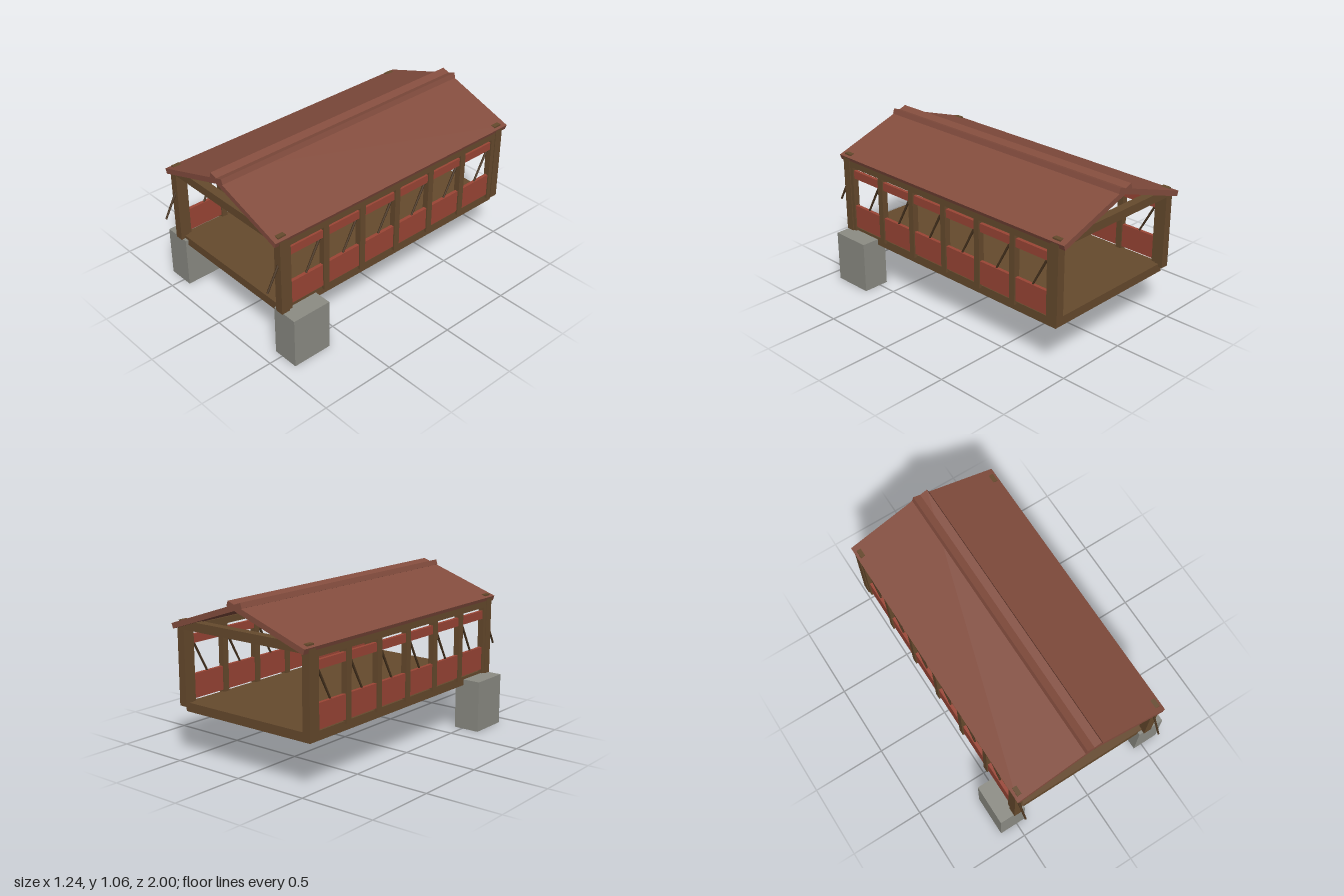
import * as THREE from 'three';

const flat = (name, color) => {
  const m = new THREE.MeshStandardMaterial({ color });
  m.name = name;
  return m;
};

export function createModel() {
  const wood = flat('brown timber', 0x664a2d);
  const darkWood = flat('dark brace wood', 0x4a3520);
  const roofRed = flat('roof red', 0x844d3e);
  const wallRed = flat('wall red', 0x9a4535);
  const stone = flat('grey stone', 0x8c8c84);

  const model = new THREE.Group();
  model.name = 'coveredBridge';

  // Box given by its [min, max] range on each axis
  const box = (name, mat, [x0, x1], [y0, y1], [z0, z1], parent = model) => {
    const mesh = new THREE.Mesh(new THREE.BoxGeometry(x1 - x0, y1 - y0, z1 - z0), mat);
    mesh.position.set((x0 + x1) / 2, (y0 + y1) / 2, (z0 + z1) / 2);
    mesh.name = name;
    parent.add(mesh);
    return mesh;
  };

  const frontZ = 0.885, backZ = -0.929, half = 0.0285;

  // Deck and the cross beams joining the end posts
  box('deck', wood, [-0.5, 0.5], [0.302, 0.36], [backZ, frontZ]);
  for (const z of [frontZ, backZ]) {
    box('tieBeam', wood, [-0.51, 0.51], [0.825, 0.881], [z - half, z + half]);
  }

  for (const s of [1, -1]) {
    const side = new THREE.Group();
    side.name = s > 0 ? 'leftSide' : 'rightSide';
    model.add(side);
    const span = (a, b) => (s > 0 ? [a, b] : [-b, -a]);

    // Corner posts, top plate and wall boards
    for (const z of [frontZ, backZ]) {
      box('cornerPost', wood, span(0.47, 0.525), [0.34, 0.864], [z - half, z + half], side);
    }
    box('topPlate', wood, span(0.475, 0.52), [0.8, 0.842], [backZ, frontZ], side);
    box('lowerBoard', wallRed, span(0.488, 0.51), [0.372, 0.527], [backZ, frontZ], side);
    box('upperRail', wallRed, span(0.488, 0.51), [0.722, 0.777], [backZ, frontZ], side);

    // Wall studs, each with a slanted brace
    for (let i = 0; i < 7; i++) {
      const z = 0.852 - i * 0.2905;
      box('stud', wood, span(0.478, 0.519), [0.345, 0.81], [z - 0.021, z + 0.021], side);

      const low = new THREE.Vector3(s * 0.498, 0.526, z + 0.143);
      const high = new THREE.Vector3(s * 0.498, 0.765, z + 0.013);
      const dir = high.clone().sub(low);
      const brace = new THREE.Mesh(new THREE.CylinderGeometry(0.0085, 0.0065, dir.length(), 8), darkWood);
      brace.position.addVectors(low, high).multiplyScalar(0.5);
      brace.quaternion.setFromUnitVectors(new THREE.Vector3(0, 1, 0), dir.normalize());
      brace.name = 'brace';
      side.add(brace);
    }

    // Roof slab, running past the ridge to cross the other one
    const slab = box('roofSlab', roofRed, [-0.305, 0.305], [-0.0175, 0.0175], [-1, 0.945], side);
    slab.position.set(s * 0.2335, 0.9465, -0.0275);
    slab.rotation.z = -s * Math.atan(0.341);

    // Stone footing under the front end
    box('footing', stone, span(0.441, 0.621), [0, 0.341], [0.634, 0.905], side);
  }

  return model;
}
